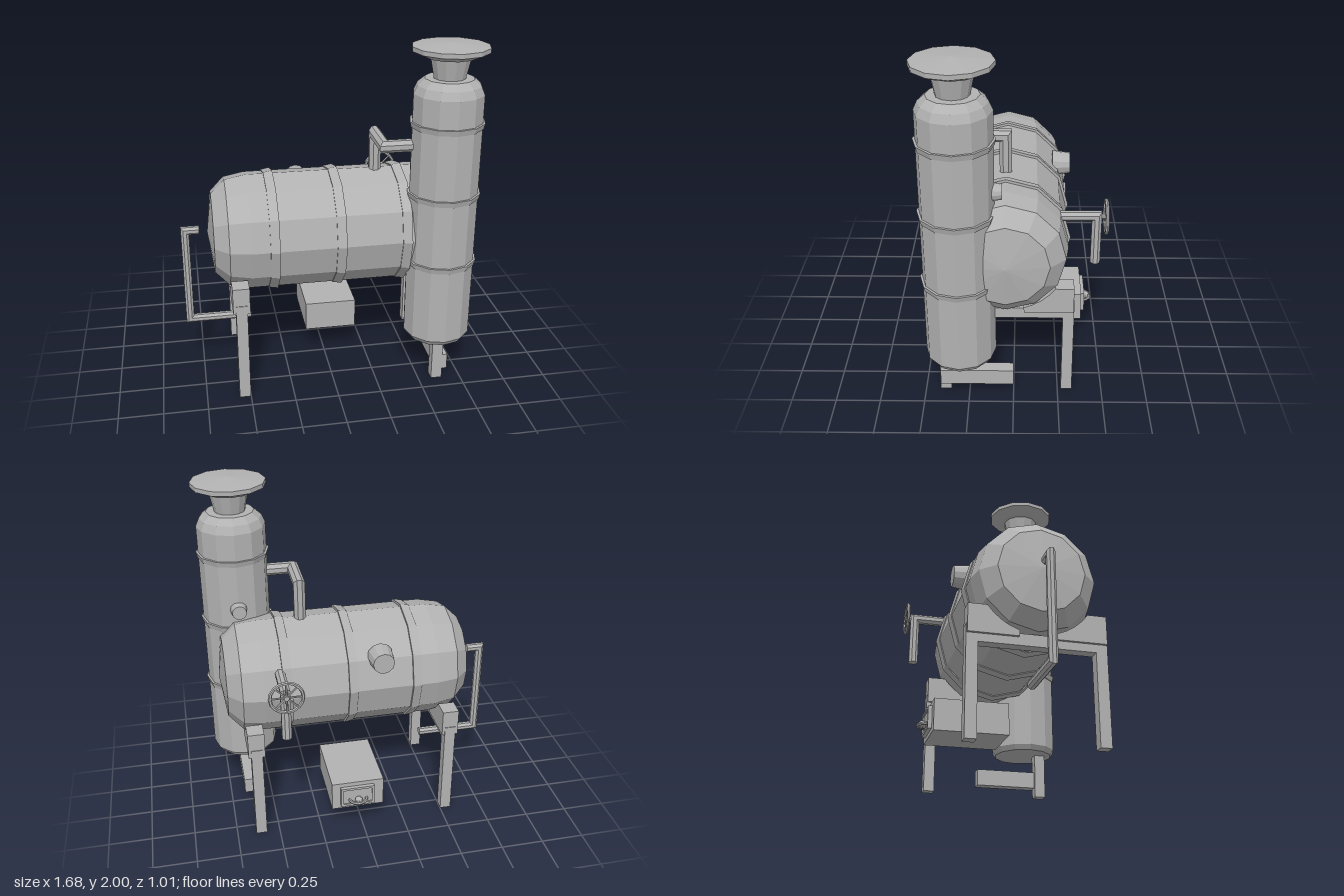
import * as THREE from 'three';

const steel = new THREE.MeshStandardMaterial({ color: 0xb2b2b2, flatShading: true, side: THREE.DoubleSide });
steel.name = 'grey steel';

export function createModel() {
  const root = new THREE.Group();
  root.name = 'boilerWithColumn';

  const add = (name, geo, x = 0, y = 0, z = 0) => {
    const m = new THREE.Mesh(geo, steel);
    m.name = name;
    m.position.set(x, y, z);
    root.add(m);
    return m;
  };
  // Box given by its limits
  const box = (name, x0, x1, y0, y1, z0, z1) =>
    add(name, new THREE.BoxGeometry(x1 - x0, y1 - y0, z1 - z0), (x0 + x1) / 2, (y0 + y1) / 2, (z0 + z1) / 2);
  const lathe = (pts, n = 12) => new THREE.LatheGeometry(pts.map(p => new THREE.Vector2(...p)), n);

  // Mitred eight-sided pipe along straight runs
  const pipe = (name, path, r, n = 8) => {
    const p = path.map(a => new THREE.Vector3(...a));
    const dirs = p.slice(1).map((q, i) => q.clone().sub(p[i]).normalize());
    const up = Math.abs(dirs[0].y) > 0.9 ? new THREE.Vector3(1, 0, 0) : new THREE.Vector3(0, 1, 0);
    const u = up.clone().cross(dirs[0]).normalize();
    const w = dirs[0].clone().cross(u);
    let ring = [];
    for (let k = 0; k < n; k++) {
      const a = ((k + 0.5) / n) * Math.PI * 2;
      ring.push(p[0].clone().addScaledVector(u, r * Math.cos(a)).addScaledVector(w, r * Math.sin(a)));
    }
    const pos = [], idx = [];
    const push = v => pos.push(v.x, v.y, v.z);
    ring.forEach(push);
    dirs.forEach((d, i) => {
      const nrm = d.clone().add(dirs[i + 1] || d);
      ring = ring.map(v => v.clone().addScaledVector(d, p[i + 1].clone().sub(v).dot(nrm) / d.dot(nrm)));
      ring.forEach(push);
      for (let k = 0; k < n; k++) {
        const a = i * n + k, b = i * n + ((k + 1) % n);
        idx.push(a, b, b + n, a, b + n, a + n);
      }
    });
    const last = dirs.length * n;
    for (let k = 1; k < n - 1; k++) idx.push(0, k + 1, k, last, last + k, last + k + 1);
    const g = new THREE.BufferGeometry();
    g.setAttribute('position', new THREE.Float32BufferAttribute(pos, 3));
    g.setIndex(idx);
    g.computeVertexNormals();
    return add(name, g);
  };

  // Horizontal tank with domed ends and hoops
  const TY = 0.897, TZ = 0.043;
  const tank = add('tank', lathe([
    [0, -0.73], [0.235, -0.70], [0.315, -0.62], [0.338, -0.50],
    [0.338, 0.50], [0.322, 0.62], [0.235, 0.70], [0, 0.73],
  ]), 0.04, TY, TZ);
  tank.rotation.z = -Math.PI / 2;
  for (const x of [-0.333, 0.038, 0.41]) {
    const hoop = add('tankHoop', lathe([[0.33, -0.026], [0.344, -0.026], [0.353, 0.026], [0.33, 0.026]]), x, TY, TZ);
    hoop.rotation.z = -Math.PI / 2;
  }

  // Vertical column, hoops, neck and cap
  const CX = 0.625, CZ = 0.292;
  add('column', lathe([
    [0, 0.26], [0.175, 0.26], [0.195, 0.29], [0.195, 1.73], [0.175, 1.775], [0.135, 1.81], [0, 1.81],
  ]), CX, 0, CZ);
  for (const y of [0.75, 1.155, 1.56]) {
    add('columnHoop', lathe([[0.19, -0.016], [0.2, -0.016], [0.208, 0.016], [0.19, 0.016]]), CX, y, CZ);
  }
  add('neck', lathe([[0.085, 1.80], [0.112, 1.93]]), CX, 0, CZ);
  add('cap', lathe([[0, 1.925], [0.14, 1.925], [0.21, 1.957], [0.21, 1.982], [0, 2.0]]), CX, 0, CZ);

  // Round hatches on column and tank, facing the back
  const hatch = (name, x, y, r, z0, z1) => {
    const m = add(name, new THREE.CylinderGeometry(r * 0.82, r, z1 - z0, 12), x, y, (z0 + z1) / 2);
    m.rotation.x = -Math.PI / 2;
  };
  hatch('columnHatch', CX, 1.28, 0.05, 0.058, 0.12);
  hatch('tankHatch', -0.125, 1.075, 0.075, -0.325, -0.22);

  // Saddles, cross beams and legs at both ends of the tank
  const R = 0.33, top = 0.705, bottom = 0.55;
  for (const x of [-0.533, 0.608]) {
    box('crossBeam', x - 0.032, x + 0.032, 0.505, 0.57, -0.32, 0.41);
    for (const s of [-1, 1]) {
      const shape = new THREE.Shape();
      const a0 = Math.asin((TY - top) / R), a1 = Math.PI / 2 - 0.3;
      shape.moveTo(0.37, bottom);
      shape.lineTo(0.37, top);
      for (let k = 0; k <= 4; k++) {
        const a = a0 + ((a1 - a0) * k) / 4;
        shape.lineTo(R * Math.cos(a), TY - R * Math.sin(a));
      }
      shape.lineTo(0.1, bottom);
      const g = new THREE.ExtrudeGeometry(shape, { depth: 0.095, bevelEnabled: false });
      g.translate(0, 0, -0.0475);
      const saddle = add('saddle', g, x, 0, TZ);
      saddle.rotation.y = s < 0 ? Math.PI / 2 : -Math.PI / 2;
      const z = TZ + s * 0.343;
      box('leg', x - 0.032, x + 0.032, 0.005, 0.6, z - 0.031, z + 0.031);
    }
  }
  box('footBeam', 0.60, 0.67, 0.063, 0.158, 0.0, 0.412);

  // Pipes
  pipe('transferPipe', [[0.285, 1.18, 0.045], [0.285, 1.438, 0.045], [0.285, 1.438, 0.28], [0.5, 1.438, 0.28]], 0.036);
  pipe('sidePipe', [[-0.735, 0.912, 0.04], [-0.817, 0.912, 0.04], [-0.817, 0.338, 0.04], [-0.455, 0.338, 0.04]], 0.025);
  pipe('drainPipe', [[0.448, 1.04, -0.22], [0.448, 1.04, -0.447], [0.448, 0.75, -0.447]], 0.029);

  // Valve wheel
  const WX = 0.447, WY = 1.035, WZ = -0.497;
  add('wheelRim', new THREE.TorusGeometry(0.09, 0.01, 6, 16), WX, WY, WZ);
  for (let k = 0; k < 4; k++) {
    const spoke = add('wheelSpoke', new THREE.CylinderGeometry(0.006, 0.006, 0.18, 5), WX, WY, WZ);
    spoke.rotation.z = (k * Math.PI) / 4;
  }
  const stem = add('wheelStem', new THREE.CylinderGeometry(0.015, 0.015, 0.06, 8), WX, WY, -0.48);
  stem.rotation.x = Math.PI / 2;

  // Firebox with a framed door and grip at the back
  box('firebox', -0.115, 0.192, 0.17, 0.346, -0.402, 0.01);
  box('doorSideA', -0.057, -0.043, 0.195, 0.32, -0.424, -0.40);
  box('doorSideB', 0.128, 0.142, 0.195, 0.32, -0.424, -0.40);
  box('doorTop', -0.057, 0.142, 0.306, 0.32, -0.424, -0.40);
  box('doorBottom', -0.057, 0.142, 0.195, 0.209, -0.424, -0.40);
  box('doorPanel', -0.045, 0.13, 0.205, 0.31, -0.416, -0.40);
  const grip = add('doorGrip', new THREE.TorusGeometry(0.052, 0.009, 6, 10, Math.PI), 0.04, 0.235, -0.41);
  grip.rotation.x = -Math.PI / 2;
  add('doorKnob', new THREE.SphereGeometry(0.024, 8, 6), 0.04, 0.24, -0.437);

  return root;
}
